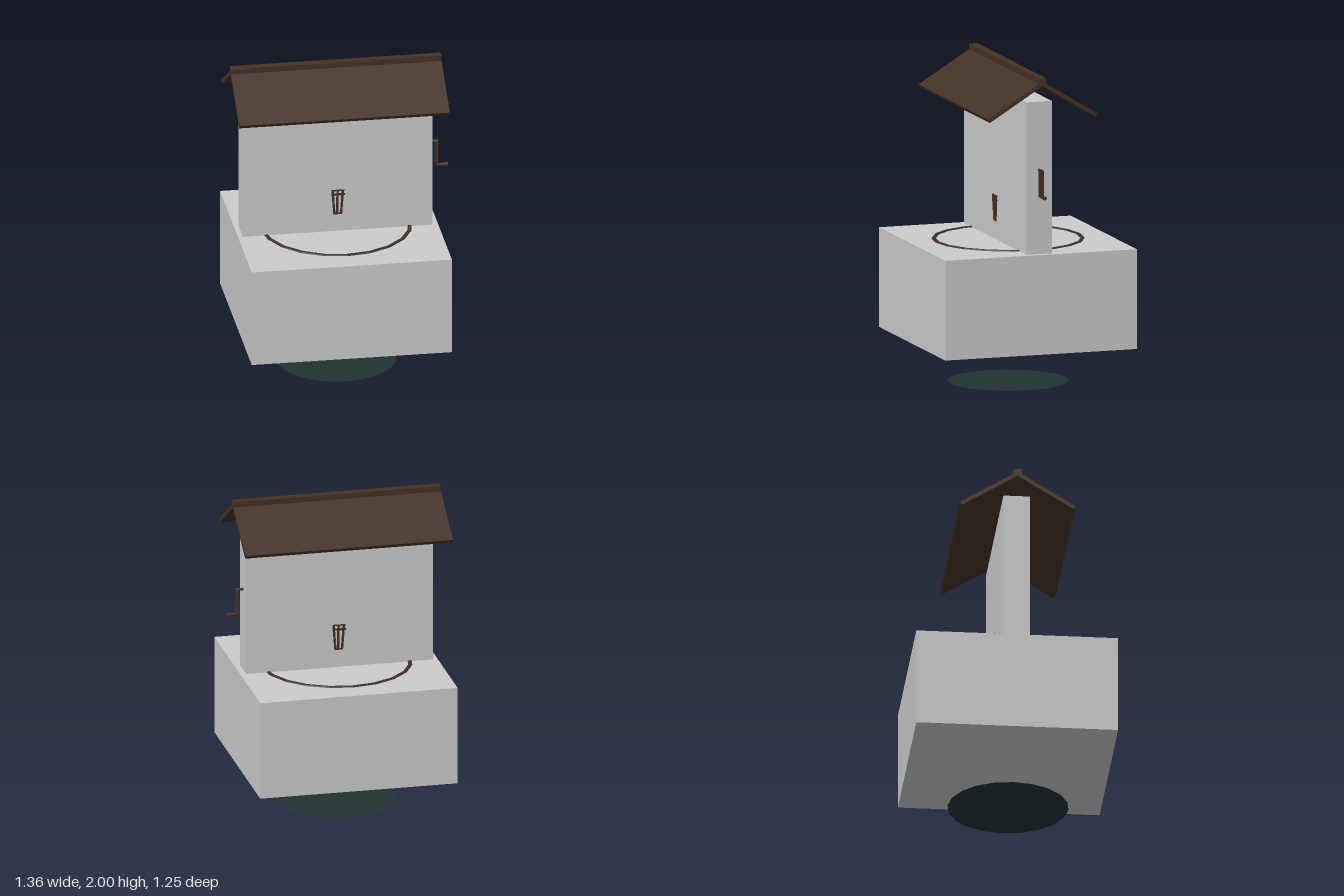
import * as THREE from 'three';

const stone = new THREE.MeshStandardMaterial({ color: 0xcccccc });
stone.name = 'pale stone';
const wood = new THREE.MeshStandardMaterial({ color: 0x443227 });
wood.name = 'dark wood';
const water = new THREE.MeshStandardMaterial({ color: 0x213233, side: THREE.DoubleSide });
water.name = 'dark water';

export function createModel() {
  const model = new THREE.Group();
  model.name = 'well';
  const CX = -0.02; // centre of the well, the crank sticks out to +x

  const add = (name, geometry, material, x, y, z, parent = model) => {
    const mesh = new THREE.Mesh(geometry, material);
    mesh.name = name;
    mesh.position.set(x, y, z);
    parent.add(mesh);
    return mesh;
  };
  const box = (w, h, d) => new THREE.BoxGeometry(w, h, d);
  const faceted = (geometry) => {
    const g = geometry.toNonIndexed();
    g.computeVertexNormals();
    return g;
  };

  // Stone base and upright wall
  add('base', box(1.25, 0.625, 1.25), stone, CX, 0.5775, 0);
  add('wall', box(1.183, 0.955, 0.166), stone, -0.0235, 1.3675, 0);

  // Water surface below the base
  add('waterSurface', new THREE.CircleGeometry(0.375, 20).rotateX(-Math.PI / 2), water, CX, 0, 0);

  // Wooden rim, mostly sunk in the top of the base
  add('rim', faceted(new THREE.TorusGeometry(0.46, 0.018, 6, 20).rotateX(Math.PI / 2)), wood, CX, 0.881, 0);

  // Gable roof: one cross-section per slope, drawn along x
  const slope = new THREE.Shape([
    [0, 1.982], [0.357, 1.763], [0.344, 1.742], [0, 1.953],
  ].map(([z, y]) => new THREE.Vector2(z, y)));
  const roofGeometry = new THREE.ExtrudeGeometry(slope, { depth: 1.314, bevelEnabled: false });
  roofGeometry.translate(0, 0, -0.657).rotateY(-Math.PI / 2);
  add('roofFront', roofGeometry, wood, -0.022, 0, 0);
  add('roofBack', roofGeometry, wood, -0.022, 0, 0).rotation.y = Math.PI;
  add('ridge', box(1.314, 0.035, 0.052), wood, -0.022, 1.9825, 0);

  // Crank: axle, arm with rounded ends and flared grip
  const crank = new THREE.Group();
  crank.name = 'crank';
  model.add(crank);
  const rod = (r1, r2, length) => new THREE.CylinderGeometry(r1, r2, length, 8).rotateZ(-Math.PI / 2);
  add('axle', rod(0.009, 0.009, 0.06), wood, 0.585, 1.418, 0, crank);
  add('arm', box(0.018, 0.16, 0.03), wood, 0.606, 1.337, 0, crank);
  for (const y of [1.412, 1.26]) add('armEnd', rod(0.015, 0.015, 0.018), wood, 0.606, y, 0, crank);
  add('grip', rod(0.013, 0.008, 0.07), wood, 0.642, 1.256, 0, crank);

  // Bucket staves and hoops showing on both faces of the wall
  for (const side of [1, -1]) {
    const bucket = new THREE.Group();
    bucket.name = side > 0 ? 'bucketFront' : 'bucketBack';
    bucket.position.x = CX;
    bucket.rotation.y = side > 0 ? 0 : Math.PI;
    model.add(bucket);
    for (const [top, bottom] of [[-0.036, -0.023], [-0.004, -0.006], [0.03, 0.018]]) {
      const stave = add('stave', box(0.014, 0.165, 0.01), wood, (top + bottom) / 2, 1.085, 0.083, bucket);
      stave.rotation.z = Math.atan2(bottom - top, 0.165);
      stave.rotation.x = 0.03;
    }
    add('upperHoop', box(0.084, 0.012, 0.012), wood, 0, 1.137, 0.085, bucket);
    add('topHoop', box(0.078, 0.007, 0.01), wood, 0, 1.164, 0.085, bucket);
    add('lowerHoop', box(0.046, 0.01, 0.008), wood, 0, 1.008, 0.082, bucket);
  }

  return model;
}
